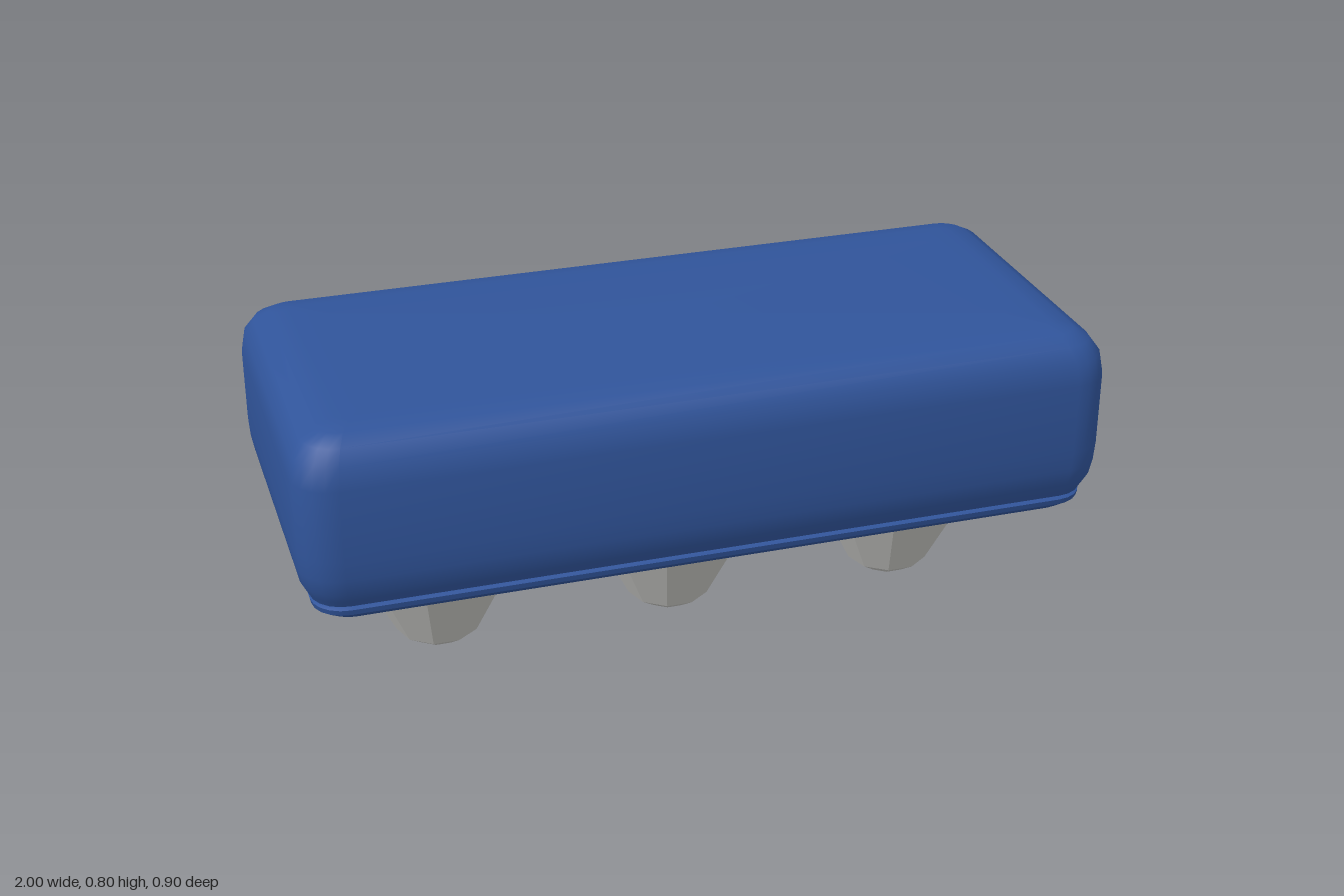
import * as THREE from 'three';
import { toCreasedNormals } from 'three/addons/utils/BufferGeometryUtils.js';

const HALF_X = 1, HALF_Z = 0.45, CORNER = 0.1, STEPS = 5;

// Rounded rectangle stacks: each level is [inset from the widest outline, height]
function roundedStack(levels) {
  const positions = [], index = [];
  const n = 4 * (STEPS + 1);
  const signs = [[1, 1], [-1, 1], [-1, -1], [1, -1]];
  for (const [inset, y] of levels) {
    const r = Math.max(0.03, CORNER - inset * 0.6);
    const cx = HALF_X - inset - r, cz = HALF_Z - inset - r;
    signs.forEach(([sx, sz], corner) => {
      for (let i = 0; i <= STEPS; i++) {
        const a = (corner + i / STEPS) * Math.PI / 2;
        positions.push(sx * cx + r * Math.cos(a), y, sz * cz + r * Math.sin(a));
      }
    });
  }
  for (let k = 0; k < levels.length - 1; k++) {
    for (let i = 0; i < n; i++) {
      const j = (i + 1) % n;
      const a = k * n + i, b = k * n + j, c = a + n, d = b + n;
      index.push(a, c, b, b, c, d);
    }
  }
  // Flat bottom and top
  const bottom = positions.length / 3, top = bottom + 1, last = (levels.length - 1) * n;
  positions.push(0, levels[0][1], 0, 0, levels[levels.length - 1][1], 0);
  for (let i = 0; i < n; i++) {
    const j = (i + 1) % n;
    index.push(bottom, i, j, top, last + j, last + i);
  }
  const geometry = new THREE.BufferGeometry();
  geometry.setAttribute('position', new THREE.Float32BufferAttribute(positions, 3));
  geometry.setIndex(index);
  return toCreasedNormals(geometry, 0.6);
}

// Turned shape with its first corner on the +x axis
function turned(profile, sides) {
  const points = profile.map(([r, y]) => new THREE.Vector2(r, y));
  return toCreasedNormals(new THREE.LatheGeometry(points, sides, Math.PI / 2), 0.4);
}

export function createModel() {
  const model = new THREE.Group();
  const blue = new THREE.MeshStandardMaterial({ color: 0x30549a });
  blue.name = 'blue';
  const grey = new THREE.MeshStandardMaterial({ color: 0xc0c0bc });
  grey.name = 'light grey';

  const add = (name, geometry, material, x = 0) => {
    const mesh = new THREE.Mesh(geometry, material);
    mesh.name = name;
    mesh.position.x = x;
    model.add(mesh);
  };

  // Cushioned block
  add('body', roundedStack([
    [0.1, 0.362], [0.03, 0.368], [0.022, 0.385], [0.01, 0.41], [0.003, 0.45], [0, 0.5],
    [0, 0.68], [0.01, 0.735], [0.035, 0.77], [0.07, 0.79], [0.12, 0.798], [0.2, 0.8],
  ]), blue);

  // Narrower base under the groove
  add('base', roundedStack([
    [0.2, 0.307], [0.11, 0.308], [0.065, 0.318], [0.033, 0.343], [0.03, 0.357], [0.042, 0.364],
  ]), blue);

  // Three tapered ten-sided feet, each with a rounder rim against the base
  const foot = turned([[0, 0], [0.062, 0], [0.106, 0.03], [0.236, 0.288], [0.236, 0.315]], 10);
  const rim = turned([[0.21, 0.284], [0.234, 0.287], [0.25, 0.3], [0.25, 0.315]], 20);
  for (const x of [-0.61, 0, 0.61]) {
    add('foot', foot, grey, x);
    add('footRim', rim, grey, x);
  }
  return model;
}
